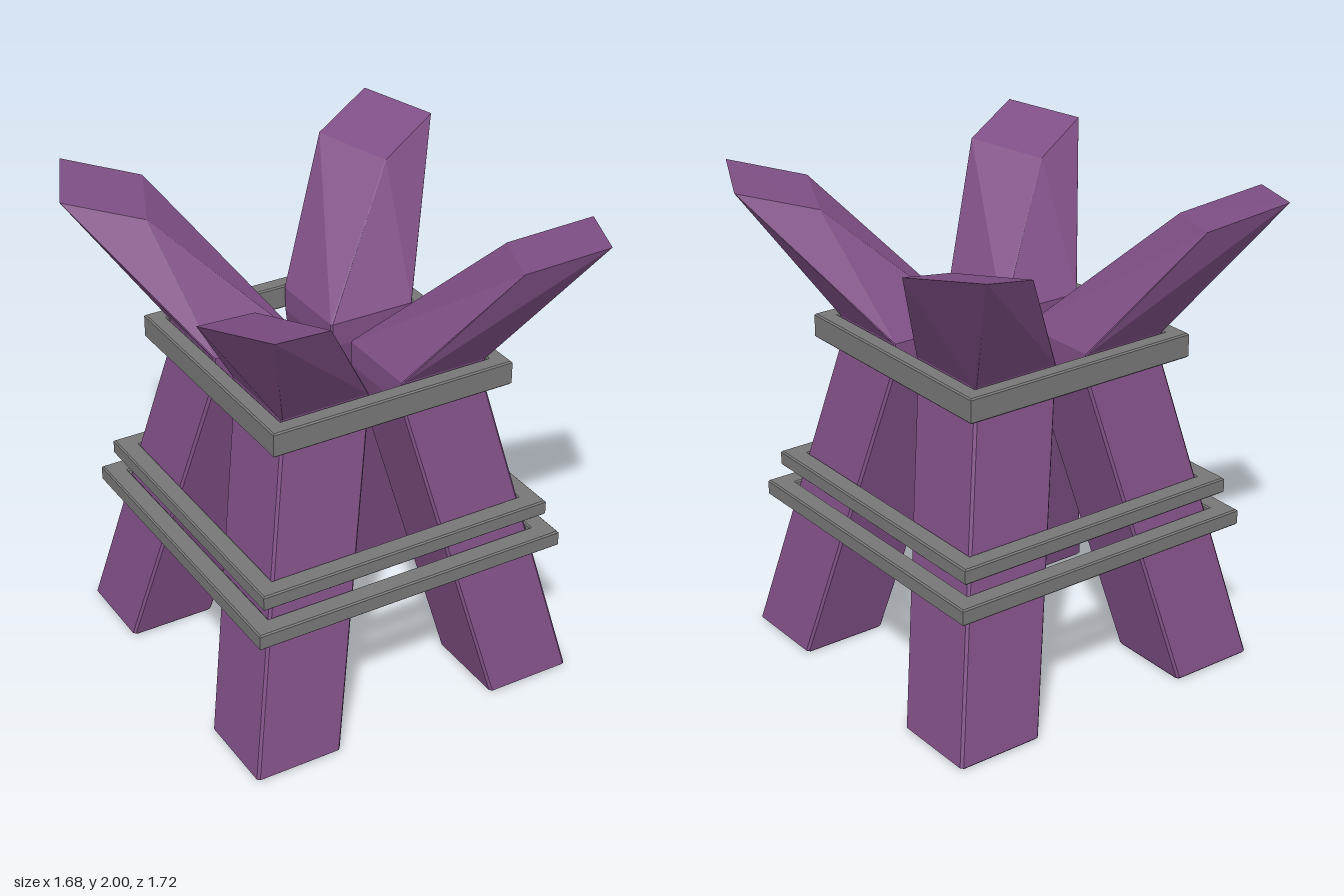
import * as THREE from 'three';

const purple = new THREE.MeshStandardMaterial({ color: 0x7f4f85, flatShading: true });
const metal = new THREE.MeshStandardMaterial({ color: 0x777777, flatShading: true });

// Square section from a to b in x and z, counter-clockwise seen from above
const square = (a, b, y) => [[a, y, a], [a, y, b], [b, y, b], [b, y, a]];

// Splits each corner of a section in two, giving the beam narrow chamfers
function chamfer(corners, c) {
  const pts = corners.map(p => new THREE.Vector3(...p));
  const n = pts.length;
  return pts.flatMap((p, i) => [pts[(i + n - 1) % n], pts[(i + 1) % n]].map(q =>
    p.clone().addScaledVector(q.clone().sub(p).normalize(), c)));
}

// Sections of one beam: leaning leg, upright neck, flared horn with slanted tip
const sections = [
  chamfer(square(0.363, 0.717, 0), 0.01),
  chamfer(square(0.355, 0.727, 0.01), 0.01),
  chamfer(square(0.073, 0.452, 1.31), 0.01),
  chamfer(square(0.073, 0.452, 1.41), 0.006),
  chamfer([[0.54, 1.875, 0.43], [0.405, 1.91, 0.735], [0.70, 2.0, 0.86], [0.84, 1.965, 0.56]], 0.002),
];

function beamGeometry(sx, sz) {
  const pos = [];
  const tri = (a, b, c) => {
    const order = sx * sz > 0 ? [a, b, c] : [a, c, b];
    for (const p of order) pos.push(p.x * sx, p.y, p.z * sz);
  };
  const n = sections[0].length;
  for (let s = 0; s < sections.length - 1; s++) {
    const lo = sections[s], hi = sections[s + 1];
    for (let i = 0; i < n; i++) {
      const j = (i + 1) % n;
      tri(lo[i], lo[j], hi[j]);
      tri(lo[i], hi[j], hi[i]);
    }
  }
  // end caps
  const bottom = sections[0], top = sections[sections.length - 1];
  for (let i = 1; i < n - 1; i++) {
    tri(bottom[0], bottom[i + 1], bottom[i]);
    tri(top[0], top[i], top[i + 1]);
  }
  const g = new THREE.BufferGeometry();
  g.setAttribute('position', new THREE.Float32BufferAttribute(pos, 3));
  g.computeVertexNormals();
  return g;
}

// Square frame with a small bevel, lying flat between y0 and y1
function bandGeometry(outer, inner, y0, y1) {
  const loop = r => [[-r, -r], [r, -r], [r, r], [-r, r]].map(p => new THREE.Vector2(...p));
  const shape = new THREE.Shape(loop(outer));
  shape.holes.push(new THREE.Path(loop(inner).reverse()));
  const b = 0.006;
  const g = new THREE.ExtrudeGeometry(shape, {
    depth: y1 - y0 - 2 * b, bevelEnabled: true, bevelSegments: 1,
    bevelSize: b, bevelThickness: b, bevelOffset: -b,
  });
  g.rotateX(-Math.PI / 2);
  g.translate(0, y0 + b, 0);
  return g;
}

export function createModel() {
  const model = new THREE.Group();
  model.name = 'bandedBrazier';
  const add = (name, geometry, material) => {
    const mesh = new THREE.Mesh(geometry, material);
    mesh.name = name;
    model.add(mesh);
  };

  // four mirrored beams
  for (const sx of [1, -1]) for (const sz of [1, -1]) {
    add((sz > 0 ? 'front' : 'back') + (sx > 0 ? 'Left' : 'Right') + 'Beam', beamGeometry(sx, sz), purple);
  }

  // bands holding the beams together
  add('lowerBand', bandGeometry(0.683, 0.60, 0.592, 0.66), metal);
  add('middleBand', bandGeometry(0.641, 0.56, 0.732, 0.797), metal);
  add('upperBand', bandGeometry(0.526, 0.457, 1.31, 1.412), metal);
  return model;
}
